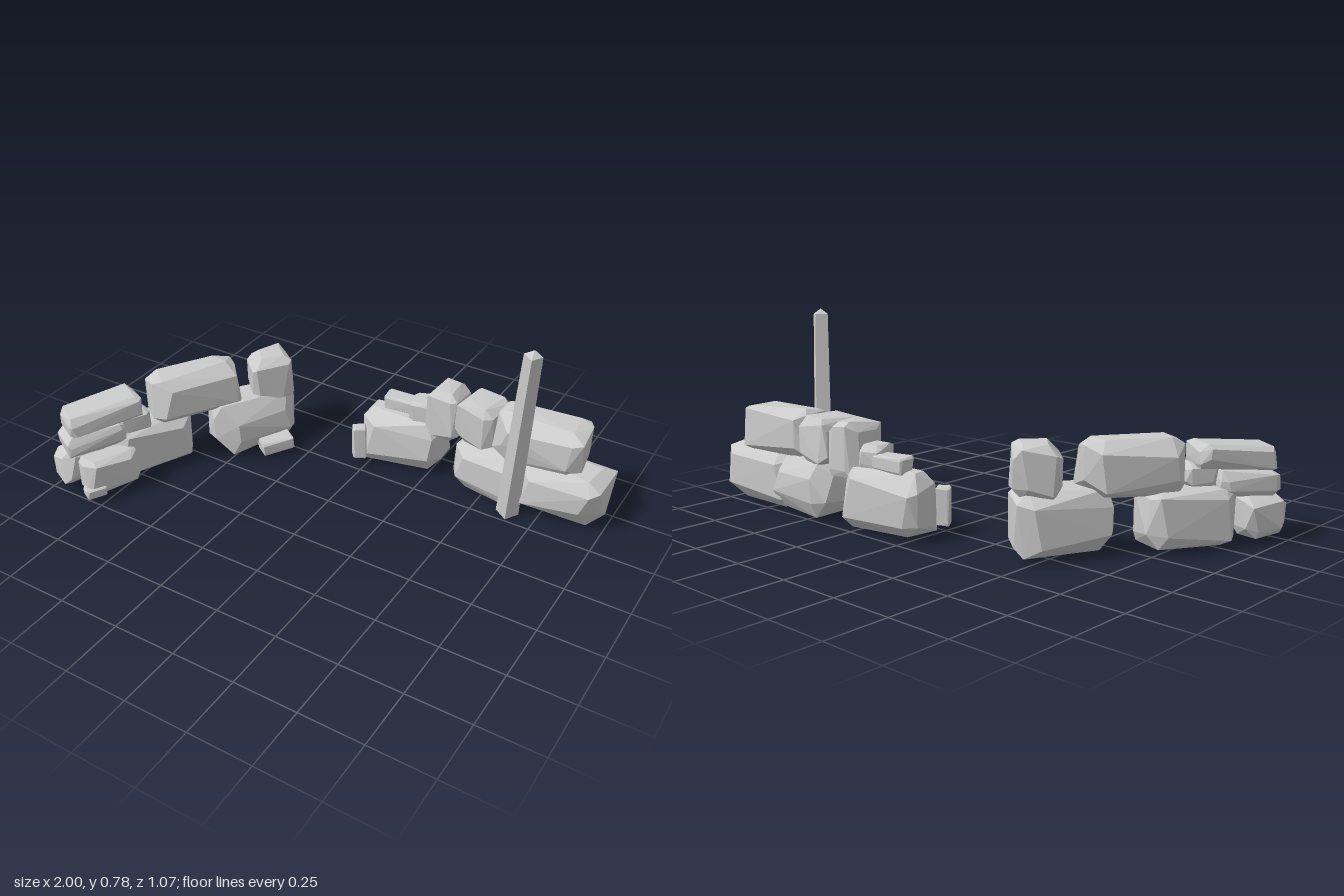
import * as THREE from 'three';
import { ConvexGeometry } from 'three/addons/geometries/ConvexGeometry.js';

const material = new THREE.MeshStandardMaterial({ color: 0xcccccc, flatShading: true });

// Small seeded generator so every stone is irregular but repeatable
function seeded(seed) {
  let s = seed * 7919 + 17;
  return () => {
    s = (s * 16807) % 2147483647;
    return s / 2147483647;
  };
}

// Rough stone: a block whose corners are cut off unevenly
function stoneGeometry([w, h, d], seed, cut) {
  const rnd = seeded(seed);
  for (let i = 0; i < 5; i++) rnd();
  const m = Math.min(w, h, d);
  const points = [];
  for (const sx of [-1, 1]) for (const sy of [-1, 1]) for (const sz of [-1, 1]) {
    const corner = [sx * w / 2, sy * h / 2, sz * d / 2];
    for (let axis = 0; axis < 3; axis++) {
      // each point stays near its own face and slides inward on the other two axes
      const p = corner.map((v, i) => {
        const inset = i === axis ? m * 0.07 * rnd() : m * cut * (0.4 + 1.0 * rnd());
        return v - Math.sign(v) * inset;
      });
      points.push(new THREE.Vector3(...p));
    }
  }
  return new ConvexGeometry(points);
}

function addStone(group, name, seed, centre, size, yaw, tilt, cut) {
  const mesh = new THREE.Mesh(stoneGeometry(size, seed, cut), material);
  mesh.name = name;
  mesh.position.set(...centre);
  mesh.rotation.set(0, yaw, tilt, 'YXZ');
  group.add(mesh);
}

// Each row: name, centre, size, yaw, tilt, corner cut
const straightWall = [
  ['baseStoneInner', [0.122, 0.137, -0.41], [0.355, 0.24, 0.205], 0.14, 0, 0.28],
  ['baseStoneMiddle', [0.53, 0.128, -0.415], [0.33, 0.225, 0.24], -0.06, 0, 0.24],
  ['baseStoneOuter', [0.81, 0.135, -0.41], [0.375, 0.24, 0.225], 0.03, 0, 0.28],
  ['longTopStone', [0.71, 0.32, -0.415], [0.365, 0.205, 0.195], 0.03, -0.02, 0.26],
  ['topStoneMiddle', [0.45, 0.315, -0.42], [0.175, 0.195, 0.185], -0.08, -0.05, 0.24],
  ['topStoneInner', [0.30, 0.307, -0.425], [0.145, 0.215, 0.175], 0.03, 0, 0.24],
  ['smallTopStone', [0.195, 0.285, -0.41], [0.1, 0.1, 0.12], 0.3, 0, 0.2],
  ['flatTopStone', [0.10, 0.275, -0.42], [0.15, 0.065, 0.08], 0.1, 0, 0.2],
  ['looseEndStone', [-0.028, 0.112, -0.29], [0.06, 0.145, 0.055], 0.6, 0, 0.15],
];

const curvedWall = [
  ['baseStoneInner', [-0.497, 0.135, -0.19], [0.375, 0.24, 0.215], 1.05, 0, 0.3],
  ['baseStoneMiddle', [-0.77, 0.125, 0.165], [0.36, 0.22, 0.195], 1.12, 0.02, 0.25],
  ['baseStoneOuter', [-0.923, 0.108, 0.412], [0.19, 0.165, 0.14], 1.2, 0, 0.28],
  ['baseStoneFront', [-0.78, 0.11, 0.395], [0.23, 0.155, 0.115], 1.1, 0, 0.27],
  ['looseFrontStone', [-0.785, 0.055, 0.488], [0.085, 0.042, 0.055], 1.1, 0, 0.2],
  ['longTopStone', [-0.655, 0.315, -0.002], [0.38, 0.215, 0.2], 1.03, 0.01, 0.27],
  ['topStoneInner', [-0.46, 0.317, -0.275], [0.18, 0.205, 0.17], 0.85, 0, 0.24],
  ['looseBackStone', [-0.365, 0.053, -0.17], [0.14, 0.062, 0.075], 0.95, 0.05, 0.18],
  ['slabTop', [-0.85, 0.327, 0.335], [0.315, 0.094, 0.16], 1.06, 0.1, 0.3],
  ['slabLower', [-0.872, 0.228, 0.375], [0.25, 0.1, 0.16], 1.06, 0.04, 0.3],
  ['slabWedge', [-0.775, 0.26, 0.235], [0.13, 0.09, 0.1], 1.0, 0.1, 0.25],
];

// Leaning, tapered four-sided post with a pointed cap
function createPost() {
  const base = new THREE.Vector3(0.638, 0.006, -0.303);
  const tip = new THREE.Vector3(0.698, 0.782, -0.245);
  const length = base.distanceTo(tip);
  const profile = [[0, 0], [0.045, 0], [0.035, length - 0.022], [0, length]];
  const geometry = new THREE.LatheGeometry(profile.map(([r, y]) => new THREE.Vector2(r, y)), 4, Math.PI / 4 - 0.55);
  const post = new THREE.Mesh(geometry, material);
  post.name = 'post';
  post.position.copy(base);
  post.quaternion.setFromUnitVectors(new THREE.Vector3(0, 1, 0), tip.clone().sub(base).normalize());
  return post;
}

export function createModel() {
  const model = new THREE.Group();
  model.name = 'ruinedStoneWall';
  [['straightWall', straightWall, 3], ['curvedWall', curvedWall, 40]].forEach(([name, stones, seed]) => {
    const wall = new THREE.Group();
    wall.name = name;
    stones.forEach(([part, ...rest], i) => addStone(wall, part, seed + i, ...rest));
    model.add(wall);
  });
  model.add(createPost());
  return model;
}
